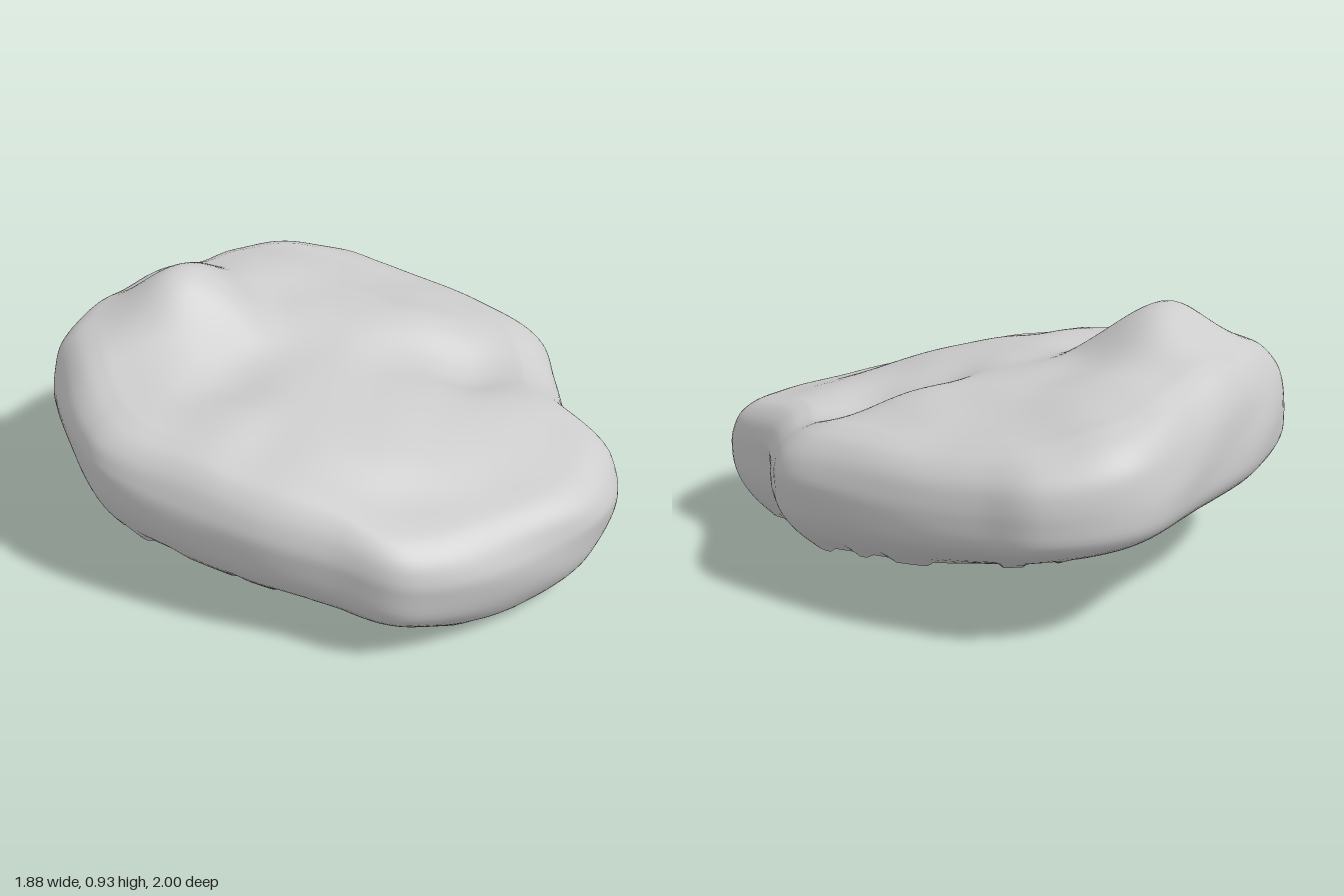
import * as THREE from 'three';
import { mergeVertices } from 'three/addons/utils/BufferGeometryUtils.js';

// Stations round the boulder: x, z, shoulder height, belly height, rim height, rim inset
const stations = [
  [0.25, -1.0, 0.7, 0.45, 0.25, 0.22], [0.55, -0.88, 0.65, 0.44, 0.23, 0.22],
  [0.66, -0.71, 0.63, 0.43, 0.21, 0.2], [0.79, -0.48, 0.61, 0.42, 0.19, 0.17],
  [0.89, -0.18, 0.61, 0.41, 0.17, 0.14], [0.94, 0.05, 0.59, 0.4, 0.14, 0.15],
  [0.88, 0.23, 0.54, 0.38, 0.12, 0.17], [0.77, 0.47, 0.54, 0.36, 0.07, 0.15],
  [0.77, 0.75, 0.51, 0.32, 0.03, 0.14], [0.55, 0.93, 0.48, 0.3, 0.01, 0.14],
  [0.2, 0.99, 0.48, 0.29, 0.0, 0.14], [-0.1, 0.985, 0.49, 0.3, 0.03, 0.19],
  [-0.25, 0.94, 0.51, 0.32, 0.05, 0.22], [-0.4, 0.77, 0.57, 0.36, 0.08, 0.21],
  [-0.6, 0.58, 0.61, 0.41, 0.13, 0.18], [-0.8, 0.32, 0.65, 0.46, 0.19, 0.14],
  [-0.93, 0.1, 0.67, 0.51, 0.24, 0.11], [-0.94, -0.05, 0.68, 0.51, 0.26, 0.12],
  [-0.88, -0.42, 0.75, 0.5, 0.26, 0.16], [-0.83, -0.56, 0.76, 0.49, 0.26, 0.2],
  [-0.52, -0.765, 0.77, 0.47, 0.25, 0.2], [-0.2, -0.87, 0.75, 0.46, 0.25, 0.2],
];

// Peaks, ledges and hollows of the upper face: x, z, height
const bumps = [
  [-0.37, -0.4, 0.93], [-0.25, -0.42, 0.89], [-0.58, -0.4, 0.84], [-0.12, -0.4, 0.78],
  [-0.35, -0.2, 0.79], [-0.6, -0.15, 0.73], [-0.4, 0.04, 0.66], [-0.5, 0.2, 0.68],
  [-0.2, 0.1, 0.68], [-0.13, 0.25, 0.66], [0, 0, 0.68], [0, -0.25, 0.73],
  [0.2, -0.3, 0.71], [0, -0.6, 0.76], [0.2, -0.6, 0.72], [-0.3, -0.6, 0.83],
  [0.4, -0.55, 0.66], [0.5, -0.3, 0.65], [0.5, -0.03, 0.66], [0.5, 0.17, 0.53],
  [0.3, 0.14, 0.59], [0.65, -0.08, 0.61], [0.5, 0.45, 0.56], [0.3, 0.4, 0.58],
  [0, 0.4, 0.63], [-0.28, 0.42, 0.64], [0.1, 0.62, 0.56], [0.4, 0.62, 0.53],
  [0.2, 0.2, 0.62], [-0.1, 0.55, 0.6], [0.22, -0.1, 0.69],
];

// Smooth height field, repeatedly corrected so it passes near its control points
function makeHeightField(points) {
  const values = points.map((p) => p[2]);
  const height = (x, z) => {
    let sum = 0, total = 0;
    points.forEach((p, i) => {
      const w = Math.exp(-((x - p[0]) ** 2 + (z - p[1]) ** 2) / 0.026) + 1e-9;
      sum += w * values[i];
      total += w;
    });
    return sum / total;
  };
  for (let pass = 0; pass < 5; pass++) {
    const errors = points.map((p) => p[2] - height(p[0], p[1]));
    errors.forEach((e, i) => { values[i] += e * 0.7; });
  }
  return height;
}

function buildShell() {
  const columns = 200, topRows = 36, sideRows = 30, rows = topRows + sideRows;
  const shoulder = 0.82;
  const outline = new THREE.CatmullRomCurve3(
    stations.map((s) => new THREE.Vector3(s[0], 0, s[1])), true, 'centripetal');
  const levels = new THREE.CatmullRomCurve3(
    stations.map((s) => new THREE.Vector3(s[3], s[4], s[5])), true, 'catmullrom', 0.5);
  const height = makeHeightField(
    [...bumps, ...stations.map((s) => [s[0] * shoulder, s[1] * shoulder, s[2]])]);
  const mix = THREE.MathUtils.lerp;
  const positions = [], indices = [];

  for (let c = 0; c < columns; c++) {
    const u = c / columns;
    const edge = outline.getPoint(u);
    const { x: belly, y: bottom, z: inset } = levels.getPoint(u);
    // Chipped rim
    const rim = Math.max(0, bottom + 0.007 * Math.sign(Math.sin(c * 0.83) + Math.sin(c * 0.37)));

    // Upper face
    for (let r = 0; r <= topRows; r++) {
      const s = shoulder * r / topRows;
      positions.push(edge.x * s, height(edge.x * s, edge.z * s), edge.z * s);
    }
    // Rounded flank, turning under to the open rim
    const start = height(edge.x * shoulder, edge.z * shoulder);
    const flank = new THREE.SplineCurve([
      [shoulder, start], [0.9, mix(belly, start, 0.87)], [0.96, mix(belly, start, 0.62)],
      [0.99, mix(belly, start, 0.32)], [1, belly], [0.985, mix(belly, bottom, 0.4)],
      [1 - inset * 0.45, mix(belly, bottom, 0.72)], [1 - inset, rim],
    ].map((p) => new THREE.Vector2(...p)));
    for (let r = 1; r <= sideRows; r++) {
      const p = flank.getPoint(r / sideRows);
      // Shallow weathering of the flank
      const wear = 0.007 * Math.sin(Math.PI * r / sideRows)
        * Math.sin(9 * edge.x + 14 * p.y) * Math.sin(8 * edge.z - 9 * p.y);
      positions.push(edge.x * (p.x + wear), Math.max(0, p.y), edge.z * (p.x + wear));
    }
  }
  for (let c = 0; c < columns; c++) {
    for (let r = 0; r < rows; r++) {
      const a = c * (rows + 1) + r, b = ((c + 1) % columns) * (rows + 1) + r;
      if (r > 0) indices.push(a, b, a + 1);
      indices.push(b, b + 1, a + 1);
    }
  }
  // Stations run clockwise seen from above, so reverse the corners to face outward
  indices.reverse();

  const geometry = new THREE.BufferGeometry();
  geometry.setAttribute('position', new THREE.Float32BufferAttribute(positions, 3));
  geometry.setIndex(indices);
  const merged = mergeVertices(geometry, 1e-5);
  merged.computeVertexNormals();
  return merged;
}

export function createModel() {
  const group = new THREE.Group();
  group.name = 'boulder';
  const material = new THREE.MeshStandardMaterial({ color: 0xcccccc, side: THREE.DoubleSide });
  const shell = new THREE.Mesh(buildShell(), material);
  shell.name = 'rockShell';
  group.add(shell);
  return group;
}
